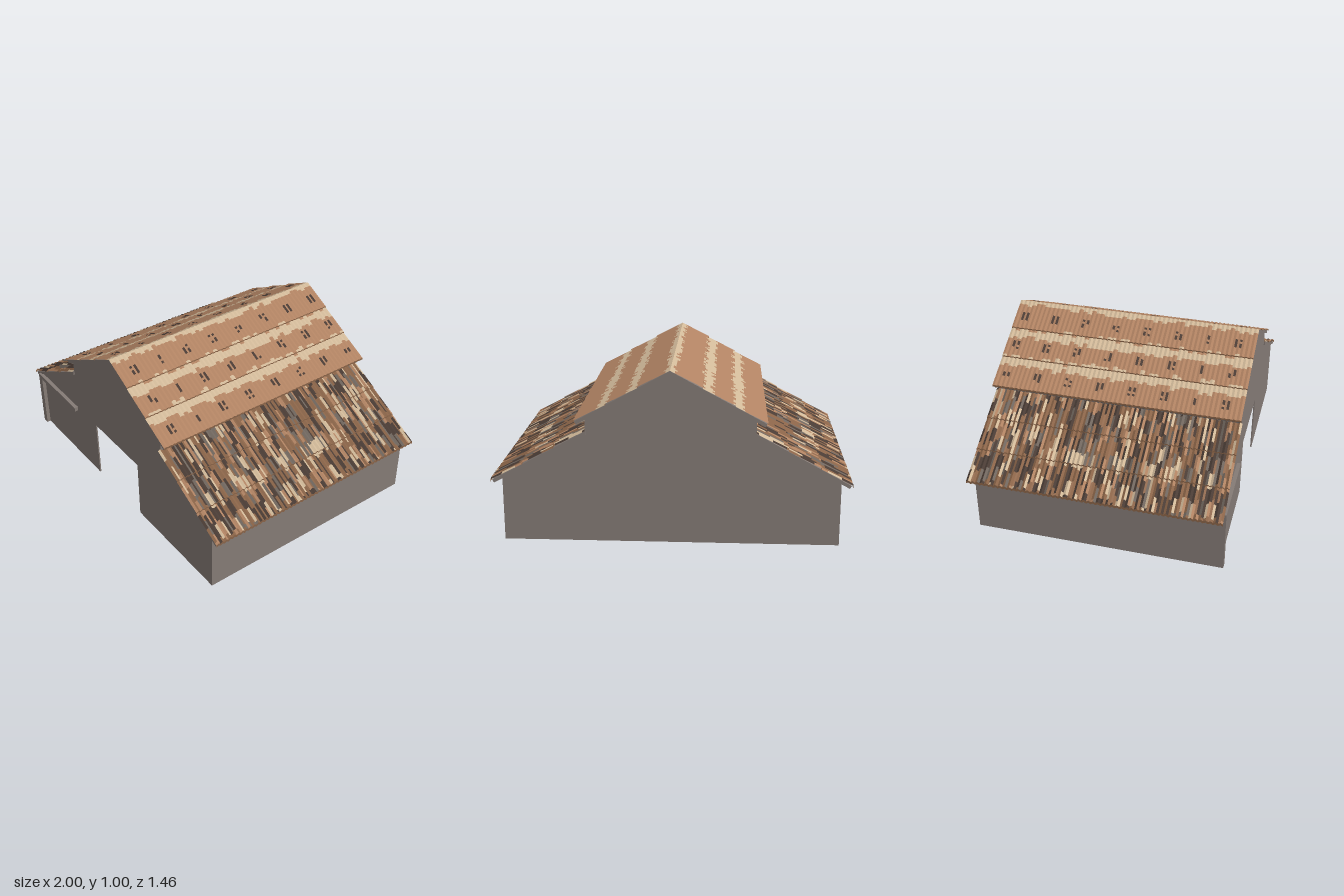
import * as THREE from 'three';

const mat = (name, color, flatShading = false) => {
  const m = new THREE.MeshStandardMaterial({ color, side: THREE.DoubleSide, flatShading });
  m.name = name;
  return m;
};

// repeatable value in 0..1 for a pair of integers
const hash = (a, b) => {
  const v = Math.sin(a * 127.1 + b * 311.7) * 43758.5453;
  return v - Math.floor(v);
};

const Z0 = -0.73, Z1 = 0.725;          // roof ends
const COLS = 54, ROWS = 42, COURSES = 3;

// Upper roof: clay with ragged pale bands and small dark marks
function upperColour(k, r) {
  const col = Math.floor(k / 2), t = (r + 0.5) / ROWS, x = 0.53 * t;
  const z = Z0 + (k + 0.5) * (Z1 - Z0) / (2 * COLS);
  const ragged = 0.012 + 0.028 * hash(col, 3);
  if (x < ragged || Math.abs(x - 0.205) < ragged || Math.abs(x - 0.372) < ragged) return 'cream';
  const dz = Math.abs(((z + 0.76) % 0.186) - 0.093);
  const nearMark = [0.105, 0.28, 0.455].some(m => Math.abs(x - m) < 0.026);
  if (nearMark && dz < 0.026 && k % 2 && hash(col, r) > 0.25) return 'dark';
  return 'clay';
}

// Lower roof: weathered streaks running down the slope
function lowerColour(k, r) {
  const v = hash(k, Math.floor((r + 9 * hash(k, 5)) / 6));
  if (v < 0.27) return 'dark';
  if (v < 0.62) return 'brown';
  if (v < 0.75) return 'clay';
  if (v < 0.88) return 'cream';
  return 'grey';
}

// Ribbed tile surface in overlapping courses, one mesh per colour
function tiles(name, s, a, b, rib, colourAt, mats) {
  const lists = {};
  const point = (k, t, lift) => [
    s * (a[0] + (b[0] - a[0]) * t),
    a[1] + (b[1] - a[1]) * t + lift + (k % 2 ? rib : 0),
    Z0 + (Z1 - Z0) * k / (2 * COLS)
  ];
  const quad = (key, p, q, u, v) => {
    const list = lists[key] ??= [];
    const order = s > 0 ? [p, q, u, p, u, v] : [p, u, q, p, v, u];
    order.forEach(c => list.push(...c));
  };
  const per = ROWS / COURSES, step = 0.007;
  for (let r = 0; r < ROWS; r++) {
    const t0 = r / ROWS, t1 = (r + 1) / ROWS;
    const h0 = step * (r % per) / per, h1 = step * (r % per + 1) / per;
    for (let k = 0; k < 2 * COLS; k++) {
      quad(colourAt(k, r), point(k, t0, h0), point(k + 1, t0, h0), point(k + 1, t1, h1), point(k, t1, h1));
      // exposed lower edge of each course
      if ((r + 1) % per === 0)
        quad('brown', point(k, t1, h1), point(k + 1, t1, h1), point(k + 1, t1, -rib), point(k, t1, -rib));
    }
  }
  const g = new THREE.Group();
  g.name = name;
  for (const key in lists) {
    const geo = new THREE.BufferGeometry();
    geo.setAttribute('position', new THREE.Float32BufferAttribute(lists[key], 3));
    geo.computeVertexNormals();
    const m = new THREE.Mesh(geo, mats[key]);
    m.name = name + ' ' + key;
    g.add(m);
  }
  return g;
}

export function createModel() {
  const model = new THREE.Group();
  model.name = 'barn';
  const wall = mat('wall grey', 0x857b76);
  const mats = {
    clay: mat('clay tile', 0xb08262, true),
    cream: mat('pale tile', 0xd0b898, true),
    brown: mat('brown tile', 0x8a6448, true),
    dark: mat('dark tile', 0x4a3c35, true),
    grey: mat('grey tile', 0x70665e, true)
  };

  const add = (name, geo, x = 0, y = 0, z = 0) => {
    const m = new THREE.Mesh(geo, wall);
    m.name = name;
    m.position.set(x, y, z);
    model.add(m);
  };
  const box = (name, x0, x1, y0, y1, z0, z1) =>
    add(name, new THREE.BoxGeometry(x1 - x0, y1 - y0, z1 - z0), (x0 + x1) / 2, (y0 + y1) / 2, (z0 + z1) / 2);
  const extrude = (name, pts, depth, z) => {
    const shape = new THREE.Shape(pts.map(p => new THREE.Vector2(...p)));
    add(name, new THREE.ExtrudeGeometry(shape, { depth, bevelEnabled: false }), 0, 0, z);
  };

  // End walls with stepped gables, the front one cut by the doorway
  const gable = [[0.94, 0], [0.94, 0.375], [0.47, 0.635], [0.47, 0.725], [0, 0.98],
    [-0.47, 0.725], [-0.47, 0.635], [-0.94, 0.375], [-0.94, 0]];
  const doorway = [[-0.25, 0], [-0.25, 0.37], [0.215, 0.37], [0.215, 0]];
  extrude('frontWall', [...gable, ...doorway], 0.008, 0.702);
  extrude('backWall', gable, 0.008, -0.703);

  for (const s of [1, -1]) {
    const side = s > 0 ? 'left' : 'right';
    const span = (name, xa, xb, y0, y1) =>
      box(name, Math.min(s * xa, s * xb), Math.max(s * xa, s * xb), y0, y1, -0.7, 0.705);

    // Outer wall, raised inner wall and the flat ceiling between them
    span(side + 'SideWall', 0.932, 0.94, 0, 0.375);
    span(side + 'UpperWall', 0.462, 0.47, 0.372, 0.725);
    span(side + 'AisleCeiling', 0.47, 0.935, 0.368, 0.376);

    // Sloped roof boards
    extrude(side + 'UpperRoofBoard',
      [[0, 0.99], [s * 0.525, 0.703], [s * 0.515, 0.686], [0, 0.968]], 1.44, -0.722);
    extrude(side + 'LowerRoofBoard',
      [[s * 0.465, 0.648], [s * 0.993, 0.358], [s * 0.983, 0.342], [s * 0.465, 0.627]], 1.44, -0.722);

    // Tiles
    model.add(tiles(side + 'UpperTiles', s, [0, 0.993], [0.53, 0.702], 0.004, upperColour, mats));
    model.add(tiles(side + 'LowerTiles', s, [0.468, 0.65], [1, 0.357], 0.008, lowerColour, mats));
  }

  // Rail and post of the front sliding gate
  box('gateRail', -0.94, -0.47, 0.35, 0.377, 0.71, 0.733);
  box('gatePost', -0.94, -0.9, 0, 0.35, 0.71, 0.733);

  return model;
}
